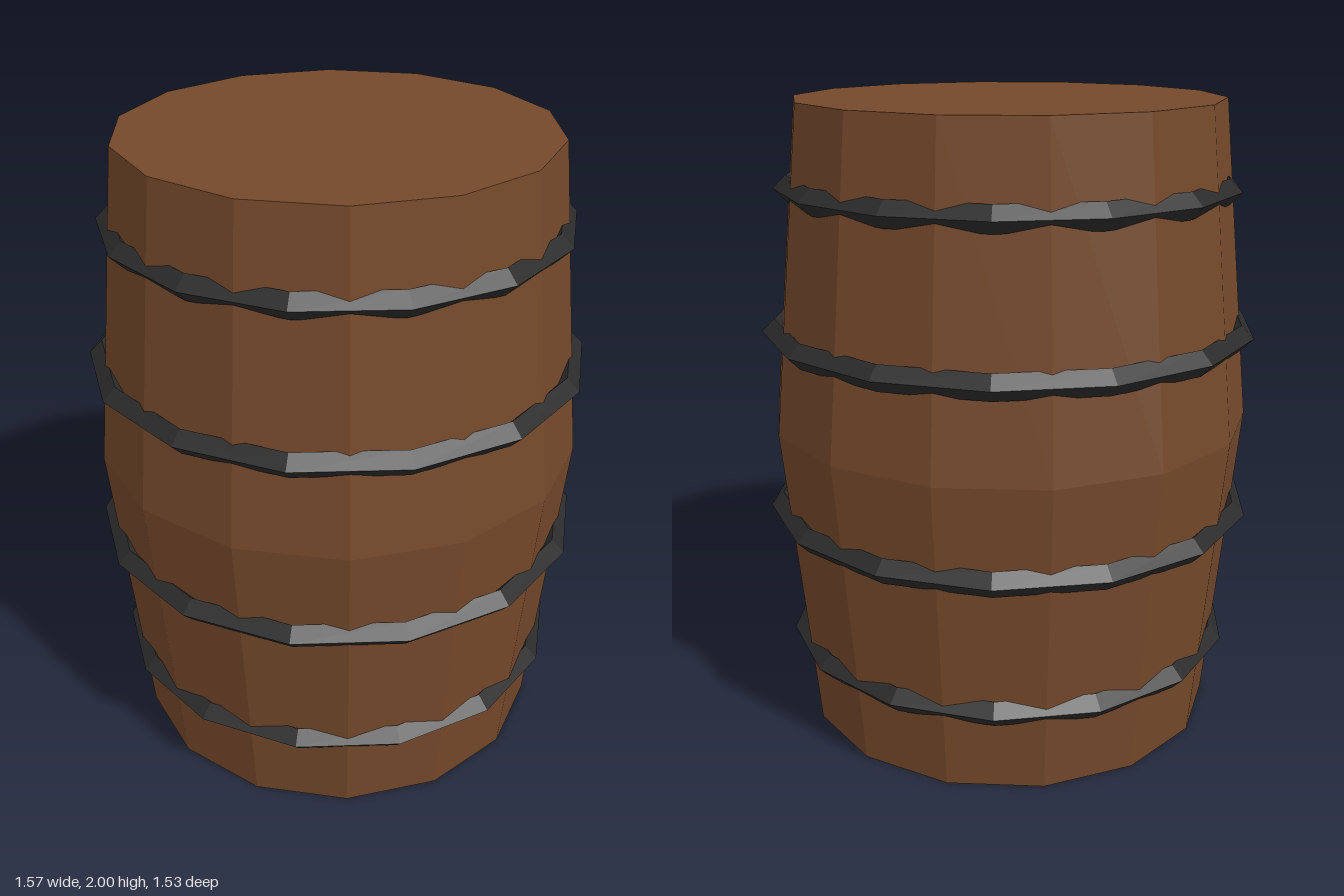
import * as THREE from 'three';

const SIDES = 14;

export function createModel() {
  const barrel = new THREE.Group();
  barrel.name = 'barrel';

  const wood = new THREE.MeshStandardMaterial({ color: 0x75492b, flatShading: true });
  const iron = new THREE.MeshStandardMaterial({ color: 0x2b2b2b, flatShading: true });

  // Closed wooden body, bulging at mid height
  const endRadius = 0.667, bellyRadius = 0.765;
  const profile = [[0, 0], [endRadius, 0], [bellyRadius, 1], [endRadius, 2], [0, 2]]
    .map(([r, y]) => new THREE.Vector2(r, y));
  const body = new THREE.Mesh(new THREE.LatheGeometry(profile, SIDES), wood);
  body.name = 'body';
  barrel.add(body);

  // Diamond-section iron hoops, mirrored about the belly
  const addHoop = (name, y, radius) => {
    const geometry = new THREE.TorusGeometry(radius, 0.04, 4, SIDES);
    geometry.rotateX(Math.PI / 2);
    const hoop = new THREE.Mesh(geometry, iron);
    hoop.name = name;
    hoop.position.y = y;
    barrel.add(hoop);
  };
  for (const [side, s] of [['lower', -1], ['upper', 1]]) {
    addHoop(side + 'BellyHoop', 1 + s * 0.29, 0.743);
    addHoop(side + 'EndHoop', 1 + s * 0.735, 0.687);
  }

  return barrel;
}
